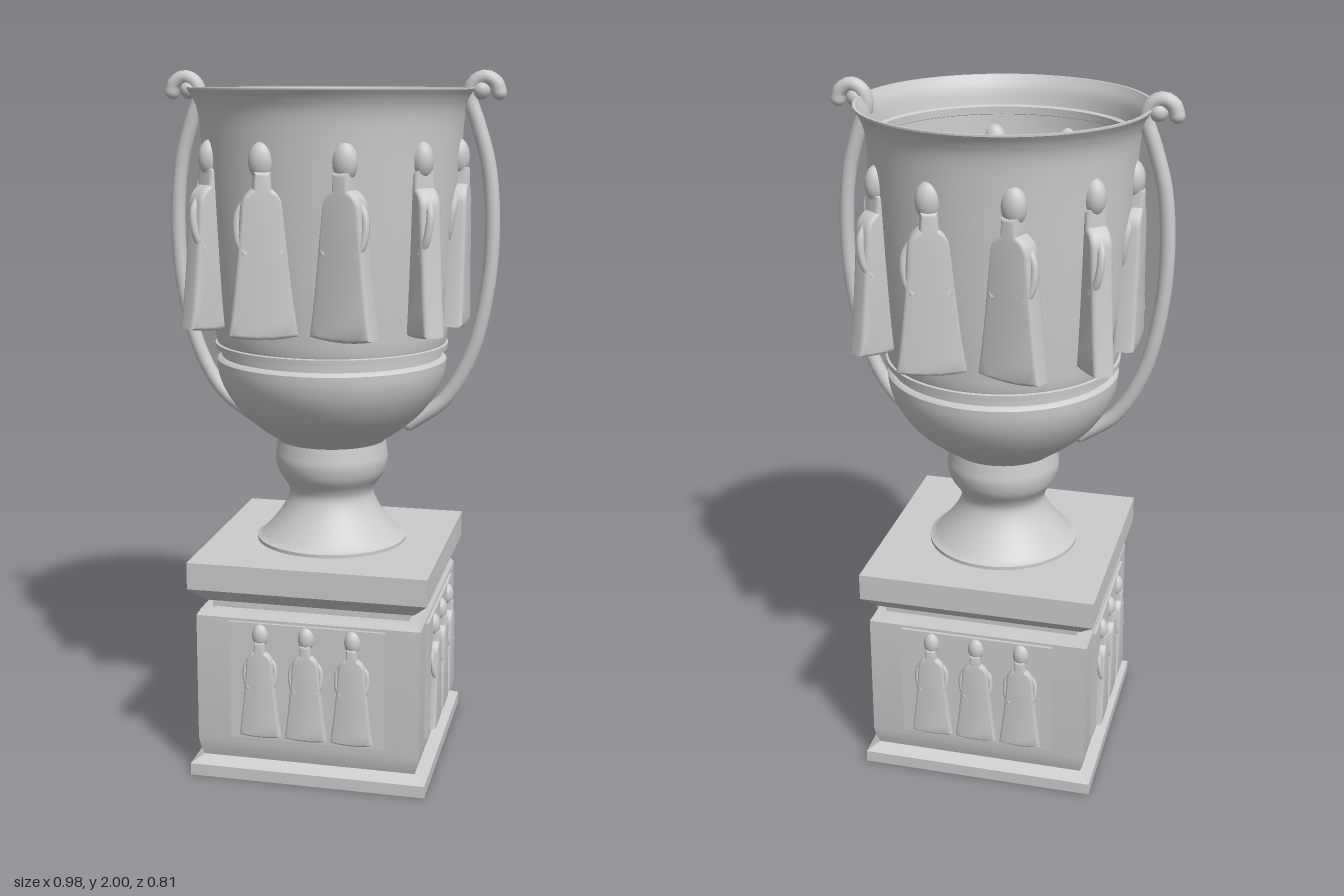
import * as THREE from 'three';
import { toCreasedNormals } from 'three/addons/utils/BufferGeometryUtils.js';

const grey = new THREE.MeshStandardMaterial({ color: 0xcccccc });

function add(parent, name, geometry) {
  const mesh = new THREE.Mesh(geometry, grey);
  mesh.name = name;
  parent.add(mesh);
  return mesh;
}

const vectors = (pts) => pts.map(([x, y]) => new THREE.Vector2(x, y));
const smooth = (pts, n) => new THREE.SplineCurve(vectors(pts)).getPoints(n);

// Square mouldings: a four-sided lathe whose profile is [half width, height]
function squareLathe(pts) {
  const profile = vectors(pts.map(([h, y]) => [h * Math.SQRT2, y]));
  return toCreasedNormals(new THREE.LatheGeometry(profile, 4, Math.PI / 4), 0.5);
}

// Robed relief figure, one unit tall, standing on its own y = 0
function createFigure(name) {
  const figure = new THREE.Group();
  figure.name = name;

  const s = new THREE.Shape();
  s.moveTo(-0.16, 0.02);
  s.quadraticCurveTo(0, -0.01, 0.16, 0.02);
  s.quadraticCurveTo(0.12, 0.3, 0.095, 0.66);
  s.quadraticCurveTo(0.09, 0.72, 0.03, 0.75);
  s.lineTo(0.025, 0.83);
  s.lineTo(-0.025, 0.83);
  s.lineTo(-0.03, 0.75);
  s.quadraticCurveTo(-0.09, 0.72, -0.095, 0.66);
  s.quadraticCurveTo(-0.12, 0.3, -0.16, 0.02);
  const robe = new THREE.ExtrudeGeometry(s, {
    depth: 0.07, bevelEnabled: true, bevelSize: 0.02, bevelThickness: 0.025, bevelSegments: 3, curveSegments: 8,
  });
  robe.translate(0, 0, -0.035);
  add(figure, 'robe', toCreasedNormals(robe, 0.7));

  const head = add(figure, 'head', new THREE.SphereGeometry(1, 20, 14));
  head.scale.set(0.07, 0.1, 0.06);
  head.position.y = 0.9;

  for (const side of [-1, 1]) {
    const path = new THREE.CatmullRomCurve3([
      new THREE.Vector3(side * 0.08, 0.7, 0),
      new THREE.Vector3(side * 0.125, 0.63, 0.01),
      new THREE.Vector3(side * 0.125, 0.5, 0.03),
      new THREE.Vector3(side * 0.09, 0.43, 0.045),
    ]);
    add(figure, side > 0 ? 'leftArm' : 'rightArm', new THREE.TubeGeometry(path, 12, 0.022, 8));
  }
  return figure;
}

function createPedestal() {
  const pedestal = new THREE.Group();
  pedestal.name = 'pedestal';
  add(pedestal, 'plinth', squareLathe([
    [0, 0], [0.343, 0], [0.343, 0.035], [0.318, 0.05], [0.31, 0.055],
    [0.318, 0.08], [0.323, 0.11], [0.323, 0.485], [0.312, 0.502],
    [0.285, 0.502], [0.285, 0.522], [0.3, 0.525], [0.343, 0.567], [0.343, 0.645], [0, 0.645],
  ]));

  // One raised panel with three figures on each face
  for (let i = 0; i < 4; i++) {
    const face = new THREE.Group();
    face.name = 'reliefPanel';
    face.rotation.y = i * Math.PI / 2;
    add(face, 'panel', new THREE.BoxGeometry(0.45, 0.35, 0.02)).position.set(0, 0.302, 0.322);
    for (const x of [-0.133, 0, 0.133]) {
      const figure = createFigure('panelFigure');
      figure.scale.setScalar(0.333);
      figure.position.set(x, 0.142, 0.33);
      face.add(figure);
    }
    pedestal.add(face);
  }
  return pedestal;
}

function createVase() {
  const vase = new THREE.Group();
  vase.name = 'vase';

  // Foot, knop, bowl, wall and rim, then back down the inside
  const profile = [
    ...vectors([[0, 0.645], [0.22, 0.645], [0.22, 0.655]]),
    ...smooth([[0.208, 0.66], [0.172, 0.7], [0.14, 0.745], [0.124, 0.785], [0.132, 0.815], [0.155, 0.85],
      [0.165, 0.89], [0.162, 0.92], [0.158, 0.948]], 28),
    ...smooth([[0.165, 0.955], [0.215, 0.99], [0.27, 1.04], [0.31, 1.1], [0.328, 1.15], [0.332, 1.19]], 20),
    ...vectors([[0.325, 1.198], [0.318, 1.2], [0.318, 1.22], [0.335, 1.222], [0.336, 1.238], [0.329, 1.24]]),
    ...smooth([[0.332, 1.25], [0.345, 1.4], [0.357, 1.6], [0.367, 1.8], [0.374, 1.88], [0.387, 1.92], [0.404, 1.947]], 24),
    ...vectors([[0.404, 1.952], [0.396, 1.952]]),
    ...smooth([[0.392, 1.945], [0.376, 1.915], [0.366, 1.87]], 8),
    ...vectors([[0.354, 1.866], [0.354, 1.845], [0.358, 1.843]]),
    ...smooth([[0.356, 1.8], [0.345, 1.6], [0.332, 1.4], [0.318, 1.22], [0.295, 1.11], [0.24, 1.04], [0.13, 0.99], [0, 0.975]], 28),
  ];
  add(vase, 'body', toCreasedNormals(new THREE.LatheGeometry(profile, 72), 0.6));

  // Ten figures cut through the wall, each turned against the curve
  for (let i = 0; i < 10; i++) {
    const a = (i + 0.5) * Math.PI / 5;
    const figure = createFigure('wallFigure');
    figure.scale.setScalar(0.515);
    figure.position.set(0.36 * Math.sin(a), 1.3, 0.36 * Math.cos(a));
    figure.rotation.y = -a;
    vase.add(figure);
  }
  return vase;
}

// Tall side handle with a hooked top
function createHandle(side) {
  const handle = new THREE.Group();
  handle.name = side > 0 ? 'leftHandle' : 'rightHandle';
  const points = [
    [0.23, 1.0], [0.33, 1.075], [0.405, 1.21], [0.448, 1.4], [0.458, 1.58], [0.444, 1.74], [0.41, 1.86],
    [0.388, 1.925], [0.398, 1.963], [0.43, 1.979], [0.46, 1.962], [0.468, 1.938],
  ].map(([x, y]) => new THREE.Vector3(side * x, y, 0));
  add(handle, 'stem', new THREE.TubeGeometry(new THREE.CatmullRomCurve3(points), 90, 0.021, 14));
  for (const p of [points[0], points[points.length - 1]]) {
    add(handle, 'endCap', new THREE.SphereGeometry(0.021, 14, 10)).position.copy(p);
  }
  add(handle, 'scrollBead', new THREE.SphereGeometry(0.026, 16, 12)).position.set(side * 0.418, 1.945, 0);
  return handle;
}

export function createModel() {
  const model = new THREE.Group();
  model.name = 'vaseOnPedestal';
  model.add(createPedestal(), createVase(), createHandle(1), createHandle(-1));
  return model;
}
